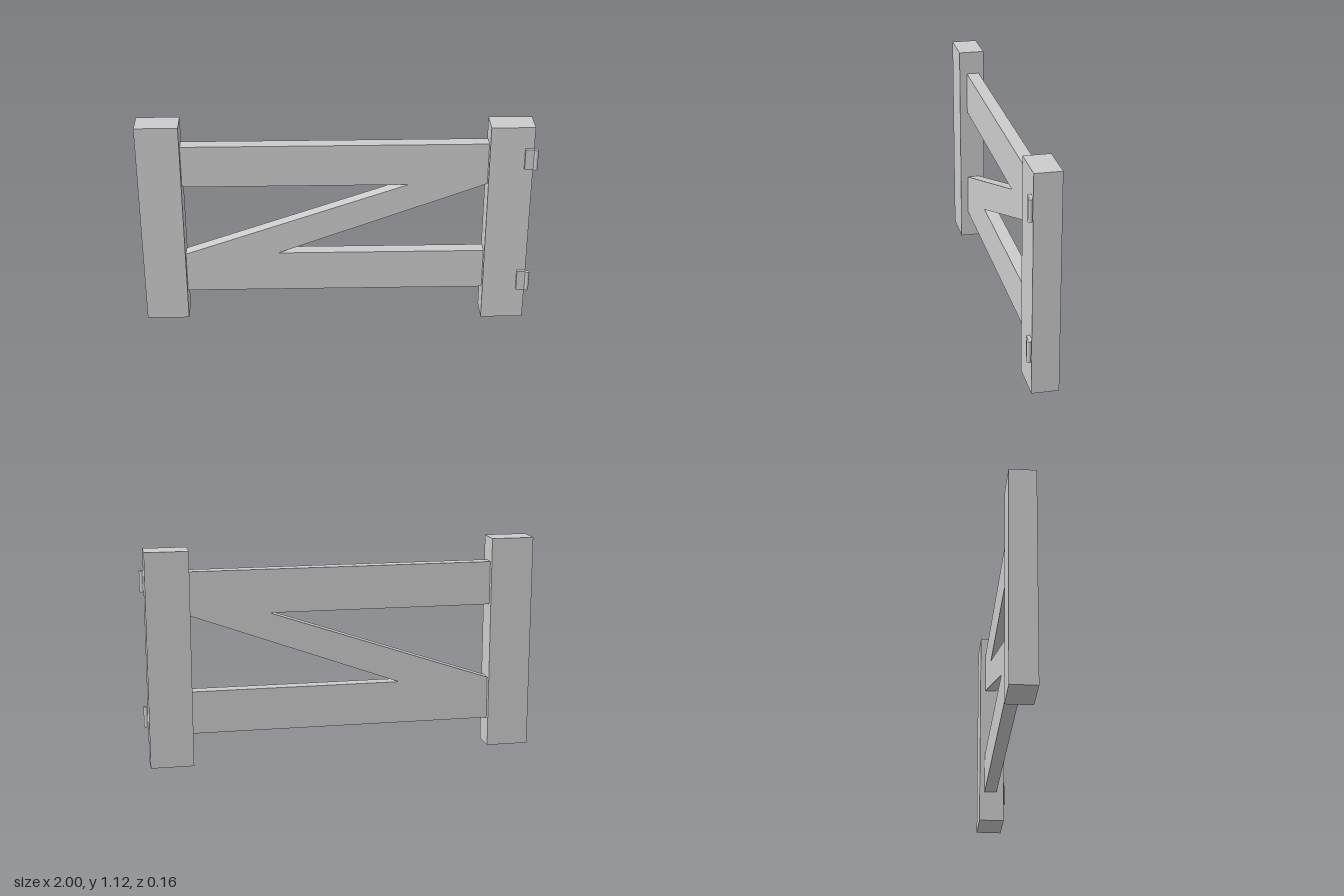
import * as THREE from 'three';

export function createModel() {
  const gate = new THREE.Group();
  gate.name = 'gate';
  const material = new THREE.MeshStandardMaterial({ color: 0xcccccc, flatShading: true });
  const smooth = new THREE.MeshStandardMaterial({ color: 0xcccccc });

  // Box given by its low and high corners
  function box(name, [x0, y0, z0], [x1, y1, z1], parent = gate) {
    const mesh = new THREE.Mesh(new THREE.BoxGeometry(x1 - x0, y1 - y0, z1 - z0), material);
    mesh.position.set((x0 + x1) / 2, (y0 + y1) / 2, (z0 + z1) / 2);
    mesh.name = name;
    parent.add(mesh);
  }

  // Posts
  box('rightPost', [-1, 0.02, -0.08], [-0.783, 1.12, 0.053]);
  box('leftPost', [0.761, 0, -0.08], [0.98, 1.104, 0.053]);

  // Two rails and the diagonal brace, cut as one flat Z-shaped panel
  const outline = [
    [-0.783, 0.164], [0.761, 0.164], [0.761, 0.383], [-0.306, 0.383], [0.761, 0.774],
    [0.761, 0.997], [-0.783, 0.997], [-0.783, 0.774], [0.361, 0.774], [-0.783, 0.383],
  ].map(([x, y]) => new THREE.Vector2(x, y));
  const panel = new THREE.Mesh(
    new THREE.ExtrudeGeometry(new THREE.Shape(outline), { depth: 0.066, bevelEnabled: false }),
    material
  );
  panel.position.z = -0.053;
  panel.name = 'railsAndBrace';
  gate.add(panel);

  // Hinges: a leaf on the post face and a round knuckle at its outer edge
  for (const [name, y] of [['lowerHinge', 0.231], ['upperHinge', 0.935]]) {
    const hinge = new THREE.Group();
    hinge.name = name;
    hinge.position.y = y;
    box('leaf', [0.935, -0.054, 0.053], [0.98, 0.054, 0.07], hinge);
    const knuckle = new THREE.Mesh(new THREE.CylinderGeometry(0.011, 0.011, 0.108, 16), smooth);
    knuckle.position.set(0.989, 0, 0.069);
    knuckle.name = 'knuckle';
    hinge.add(knuckle);
    gate.add(hinge);
  }

  return gate;
}
